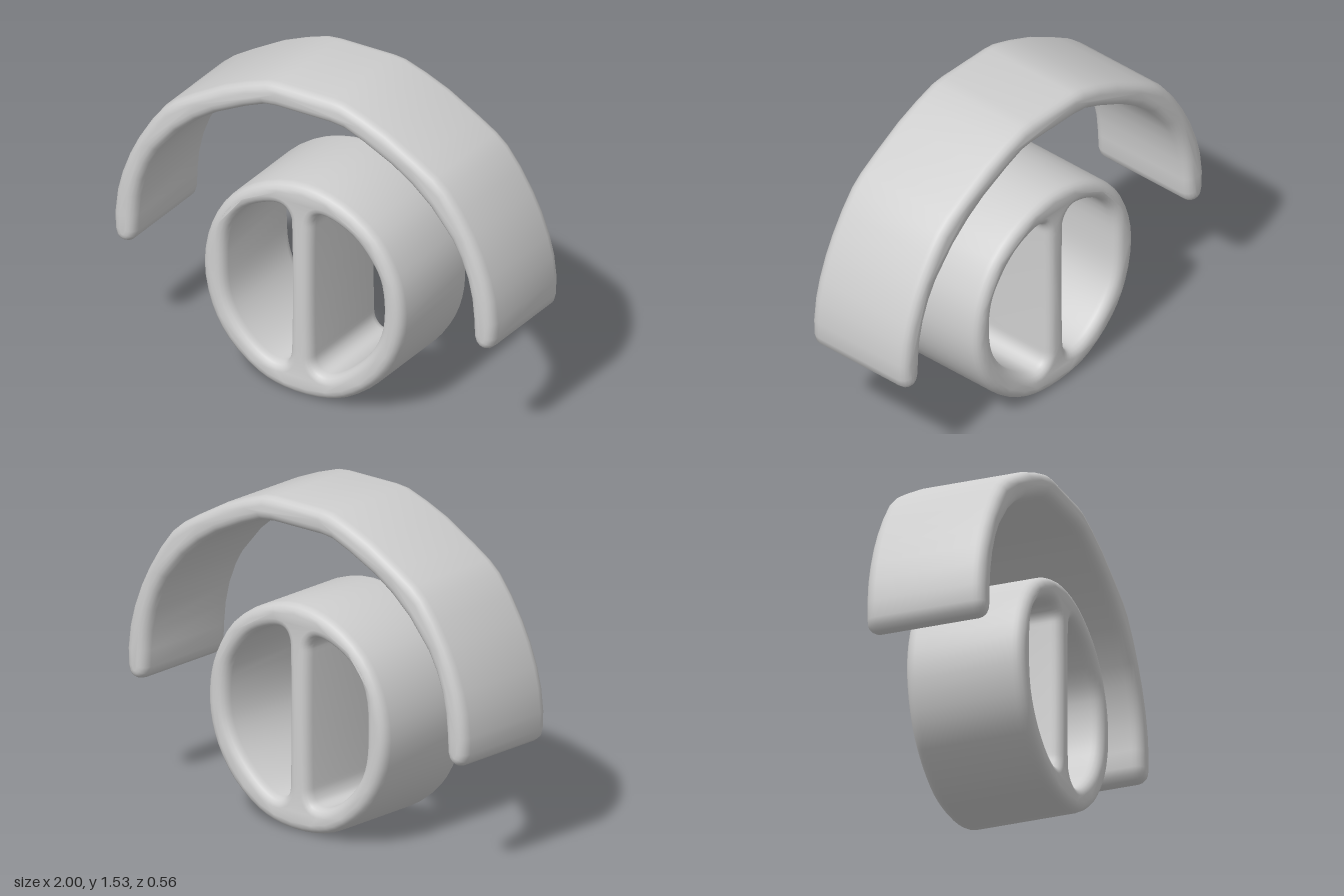
import * as THREE from 'three';
import { toCreasedNormals } from 'three/addons/utils/BufferGeometryUtils.js';

const DEPTH = 0.565, ROUND_Z = 0.05, ROUND_XY = 0.042;

const points = (list) => list.map(([x, y]) => new THREE.Vector2(x, y));
const mirror = (list) => list.map(([x, y]) => [-x, y]).reverse();

// Smooth closed loop through a few points
function smoothLoop(list, divisions) {
  const curve = new THREE.CatmullRomCurve3(
    list.map(([x, y]) => new THREE.Vector3(x, y, 0)), true, 'centripetal');
  return curve.getPoints(divisions).slice(0, -1).map((p) => new THREE.Vector2(p.x, p.y));
}

// Outline pulled along z, with softly rounded front and back rims
function softExtrude(shape) {
  const geometry = new THREE.ExtrudeGeometry(shape, {
    depth: DEPTH - 2 * ROUND_Z,
    bevelEnabled: true,
    bevelThickness: ROUND_Z,
    bevelSize: ROUND_XY,
    bevelOffset: -ROUND_XY,
    bevelSegments: 4,
  });
  geometry.translate(0, 0, -DEPTH / 2 + ROUND_Z);
  return toCreasedNormals(geometry, 0.7);
}

export function createModel() {
  const model = new THREE.Group();
  const grey = new THREE.MeshStandardMaterial({ color: 0xcecece });
  grey.name = 'grey';

  const addPart = (name, shape) => {
    const mesh = new THREE.Mesh(softExtrude(shape), grey);
    mesh.name = name;
    model.add(mesh);
  };

  // Arch: one half listed from the flat top down to the rounded foot and back up
  const outer = [[0.14, 1.523], [0.2, 1.517], [0.31, 1.48], [0.43, 1.43], [0.59, 1.34],
    [0.68, 1.285], [0.74, 1.235], [0.81, 1.145], [0.875, 1.04], [0.92, 0.95],
    [0.96, 0.845], [0.985, 0.75], [0.998, 0.64]];
  const foot = [[0.995, 0.56], [0.985, 0.524], [0.963, 0.505], [0.94, 0.5],
    [0.915, 0.507], [0.895, 0.528], [0.885, 0.56]];
  const inner = [[0.882, 0.64], [0.872, 0.74], [0.85, 0.835], [0.815, 0.925], [0.77, 1.005],
    [0.66, 1.135], [0.56, 1.22], [0.46, 1.285], [0.31, 1.358], [0.21, 1.398], [0.14, 1.406]];
  const half = [...outer, ...foot, ...inner];
  addPart('arch', new THREE.Shape(points([...half, ...mirror(half)])));

  // Ring with two D-shaped openings that leave an upright divider
  const ring = new THREE.Shape(smoothLoop([
    [0, 1.053], [0.2, 1.01], [0.38, 0.89], [0.48, 0.73], [0.515, 0.6], [0.515, 0.45],
    [0.47, 0.3], [0.37, 0.155], [0.22, 0.045], [0.08, 0.003], [-0.1, 0.003],
    [-0.24, 0.045], [-0.4, 0.17], [-0.49, 0.32], [-0.53, 0.53], [-0.49, 0.73],
    [-0.39, 0.89], [-0.21, 1.01]], 54));
  // Both openings run anticlockwise, against the ring's outline
  const leftOpening = [[-0.072, 0.82], [-0.078, 0.88], [-0.11, 0.915], [-0.17, 0.915],
    [-0.31, 0.85], [-0.395, 0.735], [-0.415, 0.53], [-0.395, 0.37], [-0.33, 0.255],
    [-0.23, 0.165], [-0.15, 0.132], [-0.1, 0.14], [-0.078, 0.175], [-0.072, 0.24]];
  const rightOpening = [[0.042, 0.24], [0.048, 0.17], [0.075, 0.138], [0.12, 0.13],
    [0.21, 0.175], [0.34, 0.305], [0.405, 0.45], [0.4, 0.67], [0.345, 0.775],
    [0.25, 0.87], [0.12, 0.922], [0.07, 0.917], [0.048, 0.885], [0.042, 0.82]];
  for (const opening of [leftOpening, rightOpening]) {
    ring.holes.push(new THREE.Path(smoothLoop(opening, 56)));
  }
  addPart('dividedRing', ring);

  return model;
}
